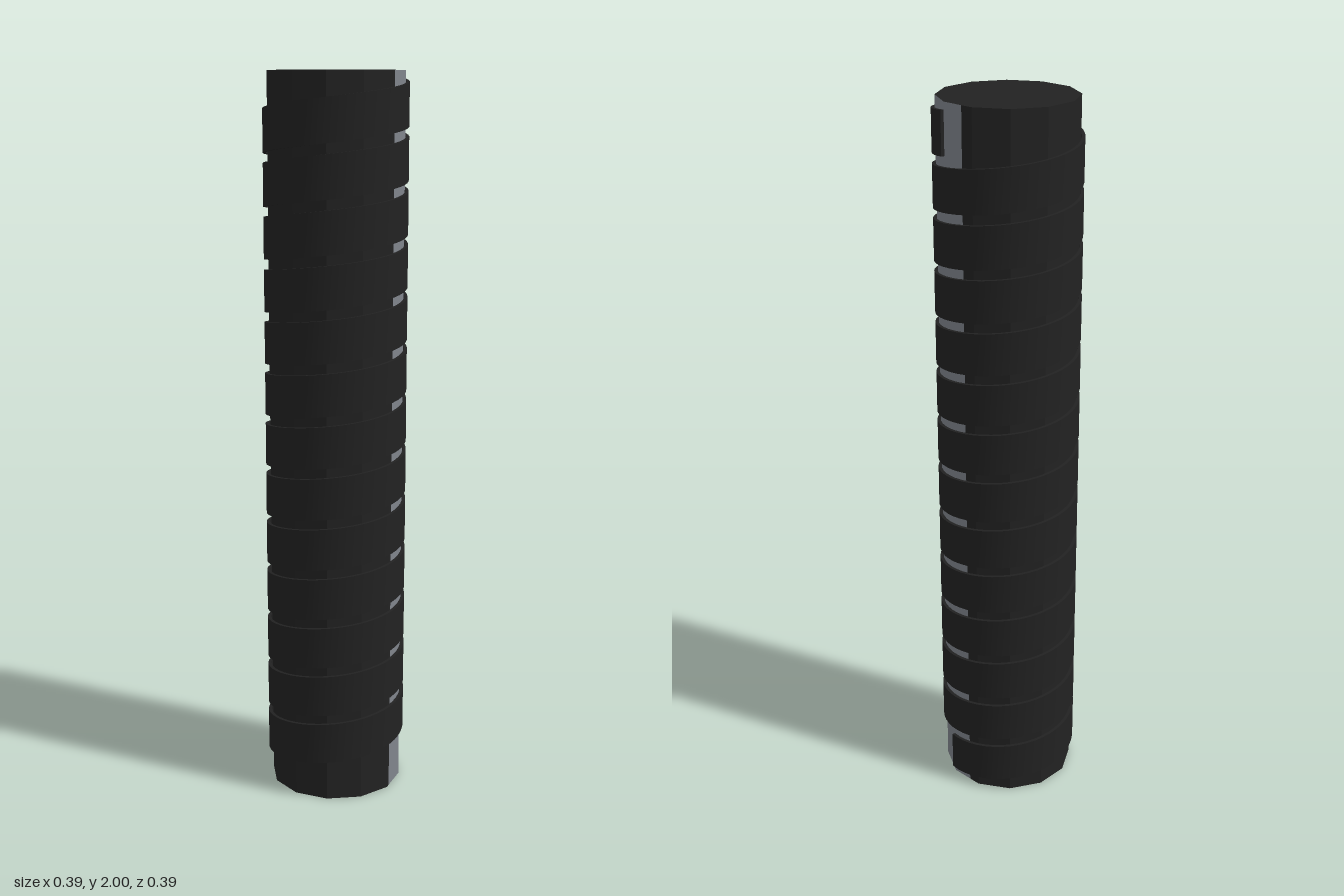
import * as THREE from 'three';

const HEIGHT = 2, CORE_R = 0.185;
const TURNS = 13, PITCH = 0.142, BAND_H = 0.115, BAND_T = 0.009, BAND_R = 0.1905, BAND_START = 0.02;

// Flat-shaded mesh from convex polygons, each fanned into triangles
function polygonMesh(name, polygons, material) {
  const pos = [];
  for (const p of polygons) {
    for (let i = 1; i < p.length - 1; i++) pos.push(...p[0], ...p[i], ...p[i + 1]);
  }
  const geo = new THREE.BufferGeometry();
  geo.setAttribute('position', new THREE.Float32BufferAttribute(pos, 3));
  geo.computeVertexNormals();
  const mesh = new THREE.Mesh(geo, material);
  mesh.name = name;
  return mesh;
}

// Corner k of the twelve-sided core, as [x, z]
const corner = (k) => [CORE_R * Math.cos(k * Math.PI / 6), CORE_R * Math.sin(k * Math.PI / 6)];
const corners = (from, to) => Array.from({ length: to - from + 1 }, (_, i) => corner(from + i));
const between = (k, t) => {
  const a = corner(k), b = corner(k + 1);
  return [a[0] + (b[0] - a[0]) * t, a[1] + (b[1] - a[1]) * t];
};
const at = (pts, y) => pts.map(([x, z]) => [x, y, z]);

// Upright walls along a run of outline points
function walls(pts) {
  return pts.slice(1).map(([x, z], i) => {
    const [px, pz] = pts[i];
    return [[x, 0, z], [px, 0, pz], [px, HEIGHT, pz], [x, HEIGHT, z]];
  });
}

// Long thin box wound into a helix
function helixBand(material) {
  const length = TURNS * Math.PI * 2;
  const geo = new THREE.BoxGeometry(length, BAND_H, BAND_T, TURNS * 48, 1, 1);
  const p = geo.attributes.position;
  for (let i = 0; i < p.count; i++) {
    const t = p.getX(i) + length / 2;
    const r = BAND_R + p.getZ(i);
    const y = p.getY(i) + BAND_H / 2 + BAND_START + PITCH * t / (Math.PI * 2);
    p.setXYZ(i, r * Math.cos(t), y, -r * Math.sin(t));
  }
  geo.computeVertexNormals();
  const mesh = new THREE.Mesh(geo, material);
  mesh.name = 'spiralWrap';
  return mesh;
}

export function createModel() {
  const black = new THREE.MeshStandardMaterial({ color: 0x222222 });
  black.name = 'black';
  const grey = new THREE.MeshStandardMaterial({ color: 0x80858c });
  grey.name = 'grey';

  const model = new THREE.Group();
  model.name = 'wrappedGrip';

  // Core walls: a grey strip on one side, black all the way round the rest
  const stripStart = between(-1, 0.37), stripEnd = between(1, 0.85);
  const strip = [stripStart, ...corners(0, 1), stripEnd];
  const rest = [stripEnd, ...corners(2, 11), stripStart];
  model.add(polygonMesh('coreStrip', walls(strip), grey));
  model.add(polygonMesh('coreWall', walls(rest), black));

  // End caps, the lower one in two colours
  model.add(polygonMesh('topCap', [at(corners(0, 11).reverse(), HEIGHT)], black));
  model.add(polygonMesh('bottomCapBlack', [at(corners(-2, 2), 0)], black));
  model.add(polygonMesh('bottomCapGrey', [at(corners(2, 10), 0)], grey));

  model.add(helixBand(black));
  return model;
}
